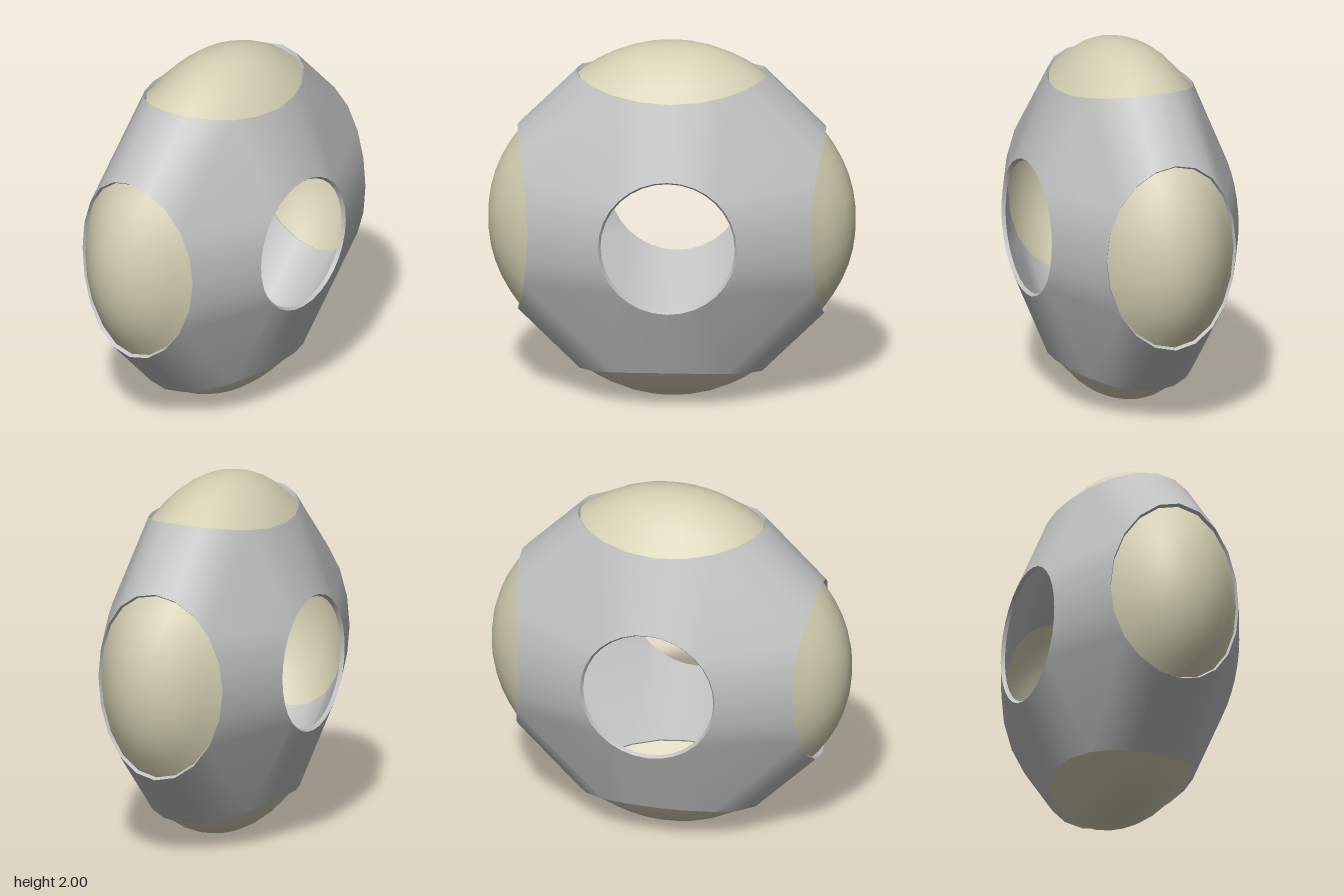
import * as THREE from 'three';
import { mergeVertices, toCreasedNormals } from 'three/addons/utils/BufferGeometryUtils.js';
import { ConvexGeometry } from 'three/addons/geometries/ConvexGeometry.js';

const HOLE = 0.378, FACE_Z = 0.545;       // round front and back openings
const PAD_X = 0.523, PAD_Z = 0.378;       // oval openings around the rim
const PAD_LOW = 0.77, PAD_RISE = 0.07;    // height of the oval edge at its sides and ends
const INNER = 0.965;                      // inner wall as a fraction of the outer one

// Height of an oval opening's edge, c = cosine around the oval
const edgeHeight = (c) => PAD_LOW + PAD_RISE * c * c;

function loop(count, rule) {
  return Array.from({ length: count }, (_, i) => {
    const a = (i / count) * Math.PI * 2;
    return rule(Math.cos(a), Math.sin(a));
  });
}

// Edge loops of the six openings
function openingLoops() {
  const loops = [1, -1].map((s) =>
    loop(32, (c, n) => new THREE.Vector3(HOLE * c, HOLE * n, s * FACE_Z)));
  const axis = new THREE.Vector3(0, 0, 1);
  for (let k = 0; k < 4; k++) {
    loops.push(loop(20, (c, n) =>
      new THREE.Vector3(PAD_X * c, edgeHeight(c), PAD_Z * n).applyAxisAngle(axis, k * Math.PI / 2)));
  }
  return loops;
}

function fromPoints(points) {
  return new THREE.BufferGeometry().setFromPoints(points);
}

// Skin stretched between the loops, leaving out the faces that close an opening
function skinPoints(loops) {
  const key = (p) => [p.x, p.y, p.z].map((v) => Math.round(v * 1e4)).join();
  const owner = new Map();
  loops.forEach((l, i) => l.forEach((p) => owner.set(key(p), i)));
  const pos = new ConvexGeometry(loops.flat()).attributes.position;
  const kept = [];
  for (let i = 0; i < pos.count; i += 3) {
    const tri = [0, 1, 2].map((j) => new THREE.Vector3().fromBufferAttribute(pos, i + j));
    const ids = tri.map((p) => owner.get(key(p)));
    if (ids[0] !== ids[1] || ids[1] !== ids[2]) kept.push(...tri);
  }
  return kept;
}

// Thin wall joining outer and inner edge of an opening
function rimGeometry(edge) {
  const pts = [];
  edge.forEach((a, i) => {
    const b = edge[(i + 1) % edge.length];
    const a2 = a.clone().multiplyScalar(INNER), b2 = b.clone().multiplyScalar(INNER);
    pts.push(a, b, b2, a, b2, a2);
  });
  return toCreasedNormals(fromPoints(pts), 0.8);
}

// Domed oval pad, apex at y = 1
function padGeometry() {
  const disc = new THREE.RingGeometry(0, 1, 20, 6);
  const pos = disc.attributes.position;
  const fit = 0.977;
  for (let i = 0; i < pos.count; i++) {
    const u = pos.getX(i), v = pos.getY(i);
    const t = Math.min(1, Math.hypot(u, v));
    const low = fit * edgeHeight(t > 0 ? u / t : 0);
    pos.setXYZ(i, PAD_X * fit * u, 1 - (1 - low) * Math.pow(t, 2.2), -PAD_Z * fit * v);
  }
  disc.deleteAttribute('uv');
  disc.deleteAttribute('normal');
  const merged = mergeVertices(disc, 1e-4);
  merged.computeVertexNormals();
  return merged;
}

export function createModel() {
  const grey = new THREE.MeshStandardMaterial({ color: 0xc0c0c0, side: THREE.DoubleSide });
  grey.name = 'shell grey';
  const cream = new THREE.MeshStandardMaterial({ color: 0xd4cfb2, side: THREE.DoubleSide });
  cream.name = 'pad cream';

  const model = new THREE.Group();
  model.name = 'hollowBody';
  const add = (name, geometry, material) => {
    const mesh = new THREE.Mesh(geometry, material);
    mesh.name = name;
    mesh.position.y = 1;
    model.add(mesh);
    return mesh;
  };

  // Outer and inner shell
  const loops = openingLoops();
  const skin = skinPoints(loops);
  add('outerShell', toCreasedNormals(fromPoints(skin), 0.8), grey);
  const inner = [];
  for (let i = 0; i < skin.length; i += 3) {
    for (const j of [0, 2, 1]) inner.push(skin[i + j].clone().multiplyScalar(INNER));
  }
  add('innerShell', toCreasedNormals(fromPoints(inner), 0.8), grey);

  // Opening rims
  const names = ['front', 'back', 'top', 'right', 'bottom', 'left'];
  loops.forEach((l, i) => add(names[i] + 'Rim', rimGeometry(l), grey));

  // Four pads around the edge
  const pad = padGeometry();
  for (let k = 0; k < 4; k++) {
    add(names[k + 2] + 'Pad', pad, cream).rotation.z = k * Math.PI / 2;
  }
  return model;
}
